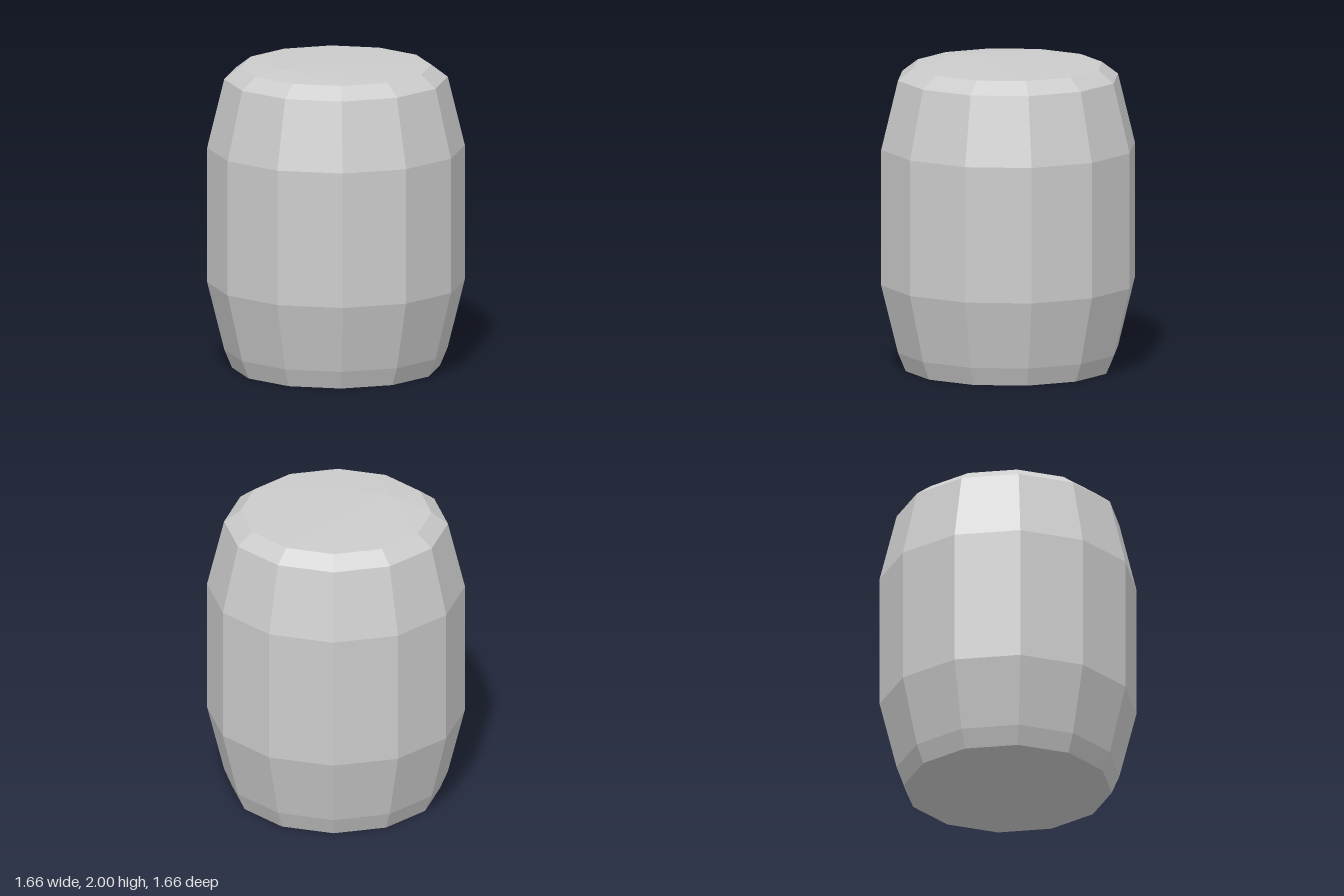
import * as THREE from 'three';

const SIDES = 12;

// Faceted solid of revolution from [radius, height] pairs, bottom to top
function turned(name, profile, material) {
  const points = profile.map(([r, y]) => new THREE.Vector2(r, y));
  const mesh = new THREE.Mesh(new THREE.LatheGeometry(points, SIDES), material);
  mesh.name = name;
  return mesh;
}

export function createModel() {
  const group = new THREE.Group();
  group.name = 'barrel';
  const material = new THREE.MeshStandardMaterial({ color: 0xcccccc, flatShading: true });

  // Bulging body with closed base and bevelled upper rim
  group.add(turned('body', [
    [0, 0], [0.67, 0], [0.72, 0.12], [0.83, 0.565],
    [0.83, 1.45], [0.72, 1.9], [0.615, 1.98],
  ], material));

  // Shallow lid whose peak sits off centre
  const lid = turned('lid', [[0.615, 1.98], [0, 2]], material);
  const pos = lid.geometry.attributes.position;
  for (let i = 0; i < pos.count; i++) {
    if (pos.getY(i) > 1.99) pos.setXYZ(i, -0.34, 2, 0.2);
  }
  lid.geometry.computeVertexNormals();
  group.add(lid);

  return group;
}
